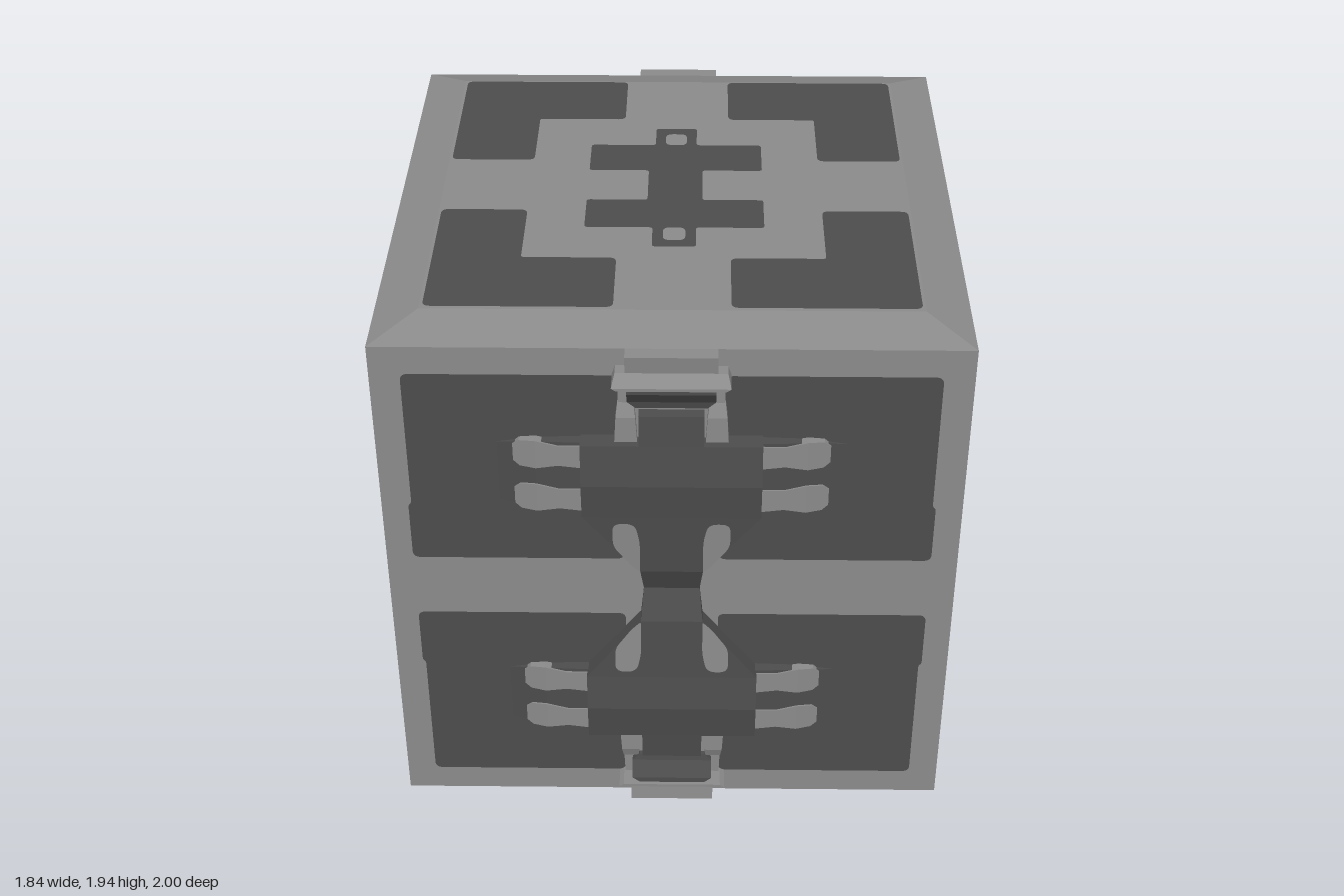
import * as THREE from 'three';

const MID = 0.965, SIDE = 0.915, TOP = 1.93, LIFT = 0.003;

export function createModel() {
  const light = new THREE.MeshStandardMaterial({ color: 0x8a8a8a });
  light.name = 'light grey';
  const dark = new THREE.MeshStandardMaterial({ color: 0x4c4c4c });
  dark.name = 'dark grey';

  const add = (parent, name, geometry, material) => {
    const mesh = new THREE.Mesh(geometry, material);
    mesh.name = name;
    parent.add(mesh);
    return mesh;
  };

  // Polygon with softened corners; points are [x, y, radius]
  const outline = (pts, Kind = THREE.Shape) => {
    const s = new Kind();
    pts.forEach(([x, y, r = 0.025], i) => {
      const p = new THREE.Vector2(x, y);
      const toward = (q) => {
        const d = new THREE.Vector2(q[0], q[1]).sub(p);
        return p.clone().addScaledVector(d, Math.min(r / d.length(), 0.45));
      };
      const a = toward(pts[(i + pts.length - 1) % pts.length]);
      const b = toward(pts[(i + 1) % pts.length]);
      if (i) s.lineTo(a.x, a.y); else s.moveTo(a.x, a.y);
      s.quadraticCurveTo(x, y, b.x, b.y);
    });
    s.closePath();
    return s;
  };
  const mirror = (pts, sx, sy) => pts.map(([x, y, r]) => [x * sx, y * sy, r]);
  const plate = (shape) => new THREE.ShapeGeometry(shape, 8).translate(0, 0, LIFT);

  // Faceted relief running up y; rows are [y, half width, front z]
  const relief = (rows, back = 0.9) => {
    const pos = [];
    const rings = rows.map(([y, w, z]) => [[-w, y, back], [-w, y, z], [w, y, z], [w, y, back]]);
    const quad = (a, b, c, d) => pos.push(...a, ...b, ...c, ...a, ...c, ...d);
    for (let i = 0; i < rings.length - 1; i++) {
      for (let k = 0; k < 3; k++) quad(rings[i][k], rings[i][k + 1], rings[i + 1][k + 1], rings[i + 1][k]);
    }
    quad(...rings[0].slice().reverse());
    quad(...rings[rings.length - 1]);
    const g = new THREE.BufferGeometry();
    g.setAttribute('position', new THREE.Float32BufferAttribute(pos, 3));
    g.computeVertexNormals();
    return g;
  };

  const model = new THREE.Group();
  model.name = 'crate';

  // Square body with shallow bevelled top and bottom
  const profile = [[0, 0], [0.77, 0], [SIDE, 0.045], [SIDE, TOP - 0.045], [0.77, TOP], [0, TOP]]
    .map(([r, y]) => new THREE.Vector2(r * Math.SQRT2, y));
  const body = new THREE.LatheGeometry(profile, 4, Math.PI / 4).toNonIndexed();
  body.computeVertexNormals();
  add(model, 'body', body, light);

  // Left and right faces: four inset panels with a round hole each
  const sidePanel = [[0.18, 0.185, 0.14], [0.78, 0.185], [0.78, 0.785], [0.18, 0.785]];
  for (const s of [1, -1]) {
    const face = new THREE.Group();
    face.name = s > 0 ? 'leftFace' : 'rightFace';
    face.position.set(s * SIDE, MID, 0);
    face.rotation.y = s * Math.PI / 2;
    model.add(face);
    for (const sx of [1, -1]) for (const sy of [1, -1]) {
      const shape = outline(mirror(sidePanel, sx, sy));
      shape.holes.push(new THREE.Path().absarc(sx * 0.33, sy * 0.32, 0.067, 0, Math.PI * 2));
      add(face, 'sidePanel', plate(shape), dark);
    }
  }

  // Top and bottom faces: corner brackets around a central emblem
  const bracket = [[0.76, 0.76], [0.18, 0.76], [0.18, 0.47], [0.48, 0.47, 0.01], [0.48, 0.17], [0.76, 0.17]];
  const quarter = [[0.09, 0.1], [0.29, 0.1], [0.29, 0.28], [0.07, 0.28], [0.07, 0.4]];
  const emblem = [
    ...quarter,
    ...mirror(quarter, -1, 1).reverse(),
    ...mirror(quarter, -1, -1),
    ...mirror(quarter, 1, -1).reverse(),
  ].map(([x, y]) => [x, y, 0.012]);
  for (const s of [1, -1]) {
    const face = new THREE.Group();
    face.name = s > 0 ? 'topFace' : 'bottomFace';
    face.position.y = s > 0 ? TOP : 0;
    face.rotation.x = -s * Math.PI / 2;
    model.add(face);
    for (const sx of [1, -1]) for (const sy of [1, -1]) {
      add(face, 'cornerBracket', plate(outline(mirror(bracket, sx, sy))), dark);
    }
    const shape = outline(emblem);
    for (const sy of [1, -1]) {
      const hole = [[-0.036, 0.28], [0.036, 0.28], [0.036, 0.36], [-0.036, 0.36]];
      shape.holes.push(outline(mirror(hole, 1, sy), THREE.Path));
    }
    add(face, 'centreEmblem', plate(shape), dark);
  }

  // Upper half of a latch face; the lower half is the same part turned over
  const frontPanel = [[0.15, 1.08], [0.83, 1.08], [0.83, 1.29, 0.01], [0.82, 1.3, 0.01], [0.82, 1.79], [0.16, 1.79]];
  const leaf = [[0.1, 1.07, 0.01], [0.13, 1.1], [0.185, 1.18], [0.185, 1.275, 0.03], [0.115, 1.275, 0.03], [0.1, 1.2]];
  const latchHalf = () => {
    const half = new THREE.Group();
    // Ridged latch plate, waist and tongue
    add(half, 'latchPlate', relief([
      [MID, 0.09, 0.925], [1.07, 0.1, 0.97], [1.3, 0.28, 0.985], [1.43, 0.28, 1],
      [1.57, 0.28, 0.98], [1.57, 0.1, 0.98], [1.675, 0.1, 0.97],
    ]), dark);
    // Catch at the rim: backing, hook and lip
    add(half, 'catchBacking', relief([[1.55, 0.17, 0.93], [1.8, 0.16, 0.93]]), light);
    add(half, 'catchHook', relief([[1.69, 0.11, 0.945], [1.715, 0.135, 0.95], [1.765, 0.135, 0.985], [1.785, 0.11, 0.985]]), dark);
    add(half, 'catchLip', relief([[1.785, 0.165, 0.997], [1.795, 0.18, 0.997], [1.825, 0.17, 0.957], [1.825, 0.14, 0.957], [1.885, 0.14, 0.965]]), light);

    for (const s of [1, -1]) {
      const panel = plate(outline(mirror(frontPanel, s, 1))).translate(0, 0, SIDE);
      add(half, 'frontPanel', panel, dark);
      // Light inlay lying on the sloped waist
      const inlay = plate(outline(mirror(leaf, s, 1)));
      const p = inlay.attributes.position;
      for (let i = 0; i < p.count; i++) p.setZ(i, 0.97 + 0.0652 * (p.getY(i) - 1.07) + LIFT);
      inlay.computeVertexNormals();
      add(half, 'waistInlay', inlay, light);
      // Post beside the tongue
      add(half, 'catchPost', relief([[1.57, 0.035, 0.955], [1.66, 0.03, 0.955], [1.7, 0.025, 0.94]])
        .translate(s * 0.14, 0, 0), light);
      // Sloping shoulder with two finger grips
      const shoulder = new THREE.Group();
      shoulder.name = 'shoulder';
      shoulder.position.y = 1.43;
      shoulder.rotation.z = -s * Math.PI / 2;
      half.add(shoulder);
      add(shoulder, 'shoulderWedge', relief([[0.27, 0.135, 0.955], [0.42, 0.13, 0.943], [0.55, 0.11, 0.916]]), dark);
      for (const side of [1, -1]) {
        add(shoulder, 'fingerGrip', relief([
          [0.275, 0.042, 0.96], [0.35, 0.037, 0.954], [0.42, 0.052, 0.948],
          [0.47, 0.048, 0.938], [0.49, 0.03, 0.934],
        ]).translate(side * 0.083, 0, 0), light);
      }
    }
    return half;
  };

  // Front and back latch faces
  for (const [name, turn] of [['frontLatch', 0], ['backLatch', Math.PI]]) {
    const face = new THREE.Group();
    face.name = name;
    face.position.y = MID;
    face.rotation.y = turn;
    model.add(face);
    for (const flip of [0, Math.PI]) {
      const pivot = new THREE.Group();
      pivot.name = flip ? 'lowerLatch' : 'upperLatch';
      pivot.rotation.z = flip;
      const half = latchHalf();
      half.name = 'latchHalf';
      half.position.y = -MID;
      pivot.add(half);
      face.add(pivot);
    }
  }
  return model;
}
